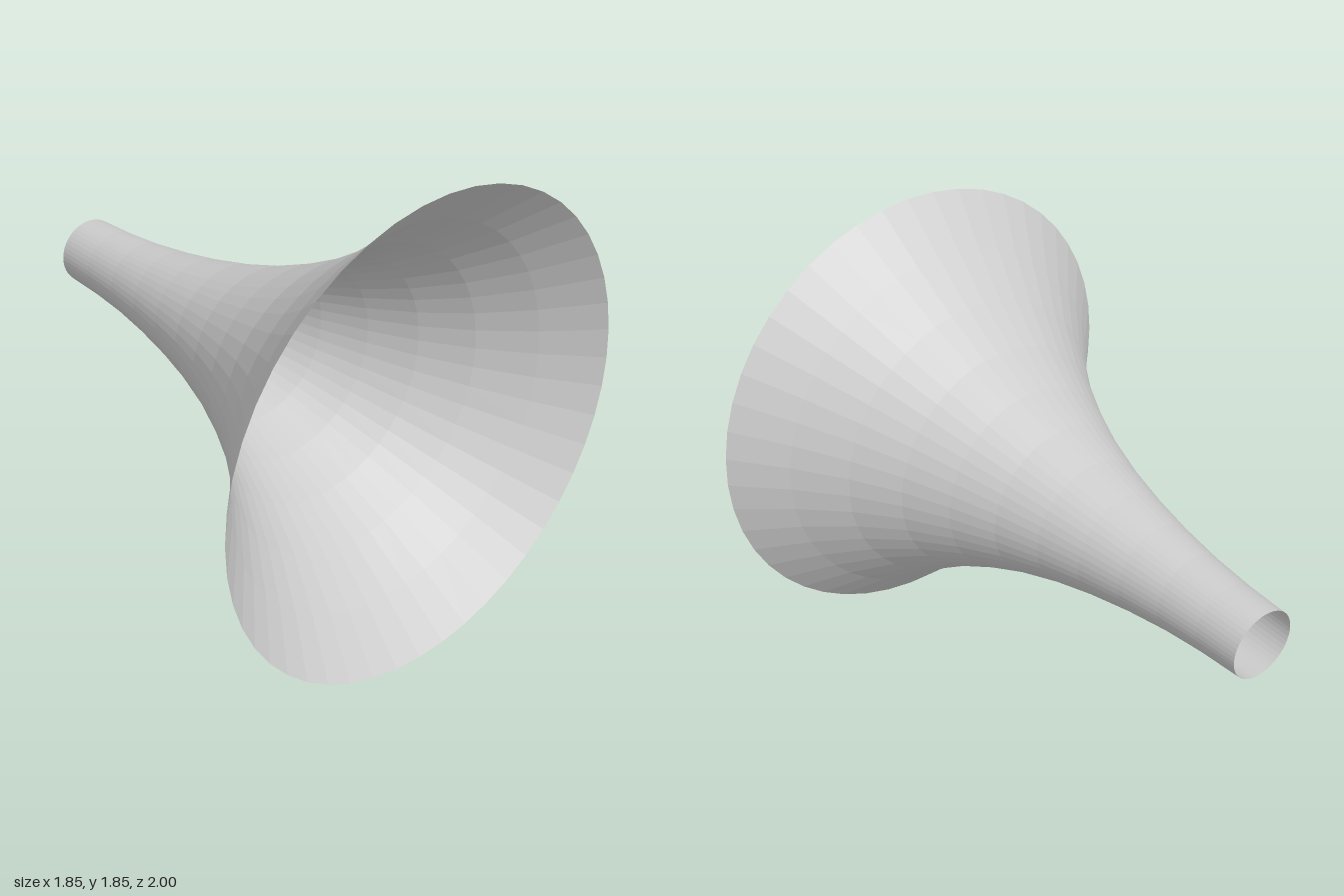
import * as THREE from 'three';

export function createModel() {
  const model = new THREE.Group();
  const grey = new THREE.MeshStandardMaterial({ color: 0xcccccc, flatShading: true, side: THREE.DoubleSide });
  grey.name = 'lightGrey';

  // Radii at equal steps along the axis, from the narrow back to the wide front
  const radii = [0.137, 0.144, 0.159, 0.184, 0.218, 0.262, 0.319, 0.394, 0.486, 0.604, 0.752, 0.927];
  const step = 2 / (radii.length - 1);
  const profile = radii.map((r, i) => new THREE.Vector2(r, -1 + i * step));

  // Open flared tube, its axis turned from y to z
  const horn = new THREE.Mesh(new THREE.LatheGeometry(profile, 48).rotateX(Math.PI / 2), grey);
  horn.name = 'flaredHorn';
  horn.position.y = 0.927;
  model.add(horn);
  return model;
}
